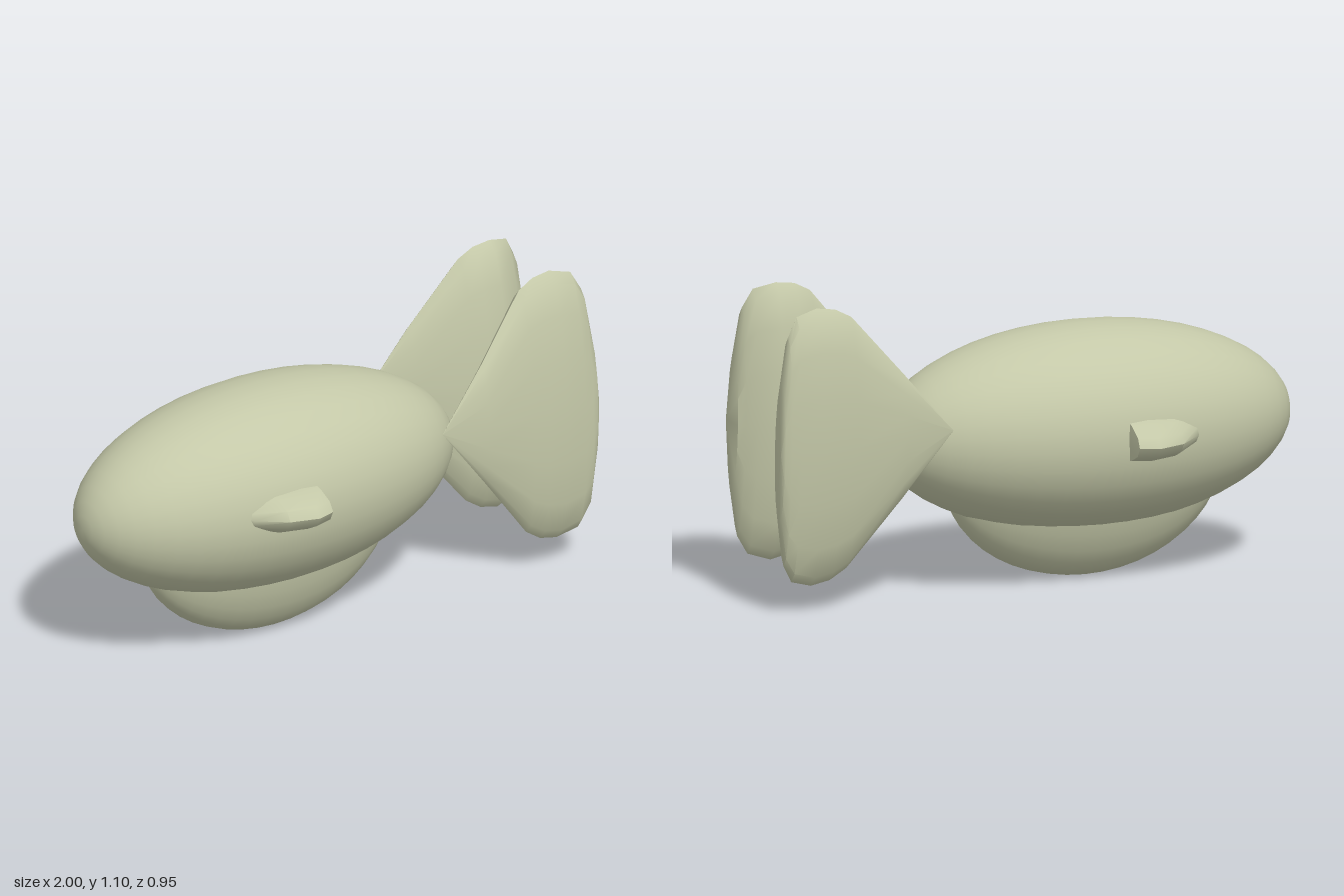
import * as THREE from 'three';
import { toCreasedNormals } from 'three/addons/utils/BufferGeometryUtils.js';

const skin = new THREE.MeshStandardMaterial({ color: 0xc4c8a8 });

// Ellipsoid whose poles lie along x
function ellipsoid(name, [x, y, z], [rx, ry, rz]) {
  const geometry = new THREE.SphereGeometry(1, 32, 24).rotateZ(Math.PI / 2).scale(rx, ry, rz);
  const mesh = new THREE.Mesh(geometry, skin);
  mesh.name = name;
  mesh.position.set(x, y, z);
  return mesh;
}

// Skin over elliptical sections along x: [x, yCentre, yRadius, zCentre, zRadius]
function loft(name, sections, side, crease, segments = 16) {
  const positions = [], index = [];
  sections.forEach(([x, yc, yr, zc, zr], i) => {
    for (let j = 0; j < segments; j++) {
      const a = (j / segments) * Math.PI * 2;
      positions.push(x, yc + yr * Math.cos(a), side * zc + zr * Math.sin(a));
      if (i === sections.length - 1) continue;
      const k = (j + 1) % segments;
      const p = i * segments + j, q = i * segments + k;
      const r = p + segments, s = q + segments;
      // Leave out the empty triangles where a section closes to a point
      if (yr > 0) index.push(p, q, r);
      if (sections[i + 1][2] > 0) index.push(q, s, r);
    }
  });
  const geometry = new THREE.BufferGeometry();
  geometry.setAttribute('position', new THREE.Float32BufferAttribute(positions, 3));
  geometry.setIndex(index);
  const mesh = new THREE.Mesh(toCreasedNormals(geometry, crease), skin);
  mesh.name = name;
  return mesh;
}

// Fan-shaped tail fin: pointed root, broad rounded rear edge
const tailSections = [
  [0.35, 0.63, 0, 0.238, 0],
  [0.53, 0.62, 0.22, 0.222, 0.04],
  [0.72, 0.607, 0.45, 0.185, 0.083],
  [0.78, 0.603, 0.485, 0.182, 0.09],
  [0.85, 0.6, 0.497, 0.18, 0.094],
  [0.93, 0.602, 0.475, 0.195, 0.074],
  [0.965, 0.6, 0.41, 0.206, 0.058],
  [0.988, 0.6, 0.25, 0.212, 0.048],
  [1.0, 0.6, 0, 0.245, 0],
];

// Stubby side fin: rooted inside the body, cut off square at the back
const sideSections = [
  [-0.62, 0.565, 0, 0.2, 0],
  [-0.52, 0.565, 0.06, 0.2, 0.155],
  [-0.43, 0.565, 0.085, 0.2, 0.24],
  [-0.33, 0.565, 0.09, 0.2, 0.275],
  [-0.26, 0.565, 0.088, 0.2, 0.253],
  [-0.248, 0.565, 0, 0.2, 0],
];

export function createModel() {
  const model = new THREE.Group();
  model.name = 'fish';

  // Everything shares a slight roll about the long axis
  const rolled = new THREE.Group();
  rolled.name = 'rolledBody';
  rolled.position.set(0, 0.54, -0.003);
  rolled.rotation.x = -0.05;
  const parts = new THREE.Group();
  parts.name = 'parts';
  parts.position.y = -0.54;
  rolled.add(parts);
  model.add(rolled);

  parts.add(ellipsoid('body', [-0.243, 0.543, 0], [0.757, 0.362, 0.372]));
  parts.add(ellipsoid('belly', [-0.24, 0.402, 0], [0.52, 0.4, 0.19]));

  for (const [label, side] of [['front', 1], ['back', -1]]) {
    parts.add(loft(label + 'TailFin', tailSections, side, 0.75));
    parts.add(loft(label + 'SideFin', sideSections, side, 0.75));
  }
  return model;
}
